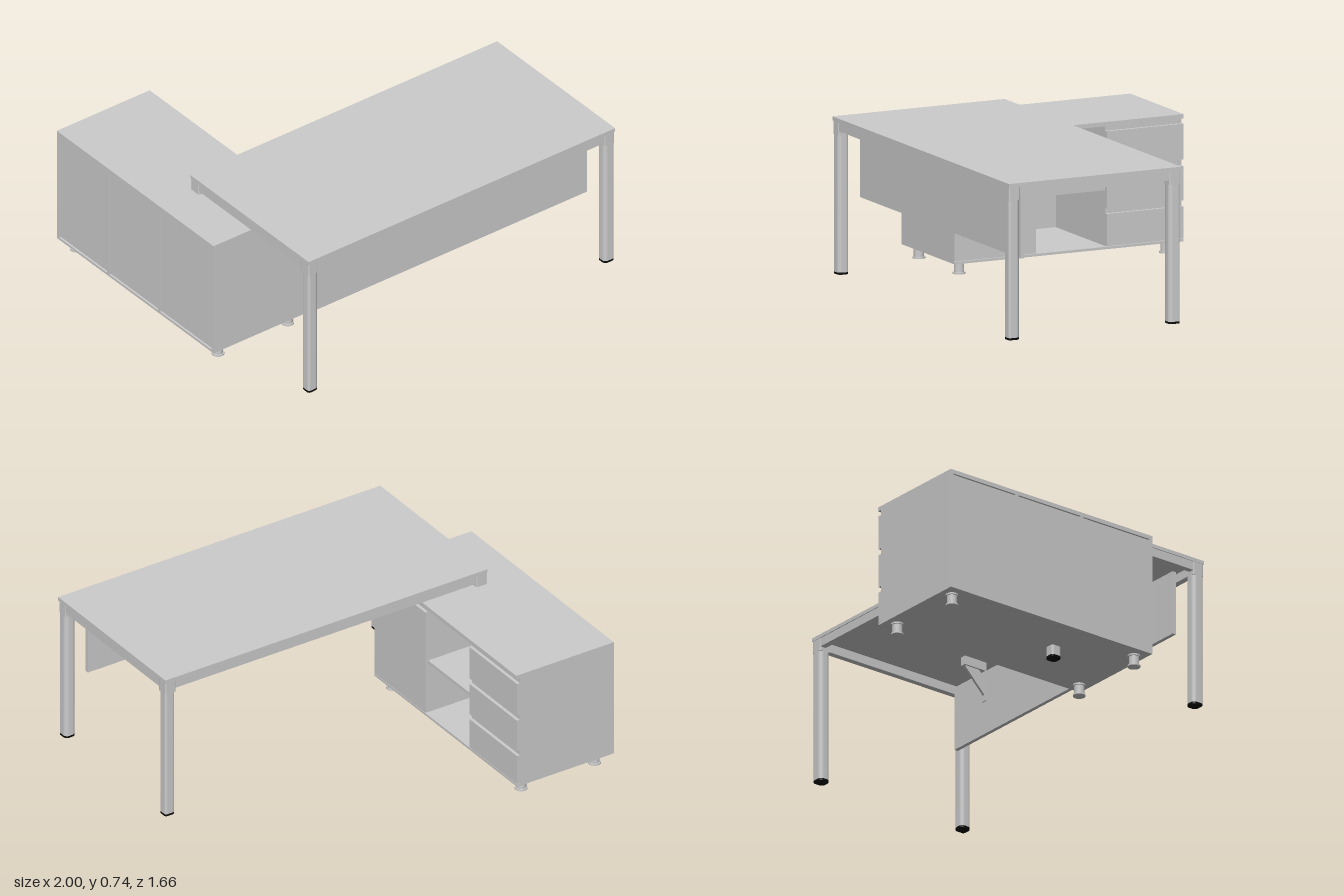
import * as THREE from 'three';

const grey = new THREE.MeshStandardMaterial({ color: 0xcccccc });
const black = new THREE.MeshStandardMaterial({ color: 0x0a0a0a });

function add(parent, name, geometry, material = grey) {
  const mesh = new THREE.Mesh(geometry, material);
  mesh.name = name;
  parent.add(mesh);
  return mesh;
}

// Box given by its limits on each axis
function slab(parent, name, [x0, x1], [y0, y1], [z0, z1]) {
  const mesh = add(parent, name, new THREE.BoxGeometry(x1 - x0, y1 - y0, z1 - z0));
  mesh.position.set((x0 + x1) / 2, (y0 + y1) / 2, (z0 + z1) / 2);
  return mesh;
}

// Square post whose outer corner is tighter than the other three
function post(half, outer, inner, y0, y1) {
  const s = new THREE.Shape();
  s.absarc(half - outer, half - outer, outer, 0, Math.PI / 2);
  s.absarc(-half + inner, half - inner, inner, Math.PI / 2, Math.PI);
  s.absarc(-half + inner, -half + inner, inner, Math.PI, Math.PI * 1.5);
  s.absarc(half - inner, -half + inner, inner, Math.PI * 1.5, Math.PI * 2);
  const g = new THREE.ExtrudeGeometry(s, { depth: y1 - y0, bevelEnabled: false, curveSegments: 6 });
  return g.rotateX(-Math.PI / 2).translate(0, y0, 0);
}

function createDesk() {
  const desk = new THREE.Group();
  desk.name = 'desk';
  const [x0, x1, z0, z1] = [-0.8, 1, -0.07, 0.83];
  slab(desk, 'deskTop', [x0, x1], [0.725, 0.743], [z0, z1]);

  // Legs, turned so the tight corner points outward
  const corners = [[x1, z0, 1, -1], [x0, z0, -1, -1], [x0, z1, -1, 1], [x1, z1, 1, 1]];
  corners.forEach(([x, z, sx, sz], i) => {
    const leg = new THREE.Group();
    leg.name = 'deskLeg';
    leg.position.set(x - sx * 0.031, 0, z - sz * 0.031);
    leg.rotation.y = i * Math.PI / 2;
    add(leg, 'legPost', post(0.029, 0.012, 0.02, 0.01, 0.662));
    add(leg, 'legHead', post(0.029, 0.006, 0.006, 0.662, 0.725));
    add(leg, 'legFoot', post(0.029, 0.012, 0.02, 0, 0.01), black);
    desk.add(leg);
  });

  // Frame rails between the leg heads
  const railY = [0.682, 0.725];
  for (const z of [z0 + 0.004, z1 - 0.034]) slab(desk, 'longRail', [x0 + 0.055, x1 - 0.055], railY, [z, z + 0.03]);
  for (const x of [x0 + 0.004, x1 - 0.034]) slab(desk, 'shortRail', [x, x + 0.03], railY, [z0 + 0.055, z1 - 0.055]);

  // Modesty panel and its angled brackets
  slab(desk, 'modestyPanel', [-0.72, 0.915], [0.365, 0.685], [0.708, 0.727]);
  const brace = new THREE.Shape([[-0.708, 0.555], [-0.585, 0.682], [-0.67, 0.682], [-0.708, 0.645]]
    .map(([a, b]) => new THREE.Vector2(a, b)));
  for (const x of [-0.5, 0.69]) {
    const g = new THREE.ExtrudeGeometry(brace, { depth: 0.012, bevelEnabled: false });
    add(desk, 'panelBrace', g.rotateY(Math.PI / 2)).position.x = x - 0.006;
    slab(desk, 'bracePlate', [x - 0.015, x + 0.015], [0.53, 0.685], [0.702, 0.708]);
    slab(desk, 'braceTopPlate', [x - 0.015, x + 0.015], [0.682, 0.725], [0.58, 0.708]);
  }
  return desk;
}

function createCabinet() {
  const cabinet = new THREE.Group();
  cabinet.name = 'sideCabinet';
  const back = -1, body = -0.475, front = -0.459;
  const [z0, z1, doorZ, drawerZ] = [-0.83, 0.365, -0.06, -0.43];
  const t = 0.016;

  // Carcass
  slab(cabinet, 'cabinetTop', [back, -0.455], [0.643, 0.663], [z0, z1]);
  slab(cabinet, 'cabinetBottom', [back, front], [0.058, 0.07], [z0, z1]);
  for (const z of [z0, drawerZ - t, doorZ, z1 - t]) {
    slab(cabinet, 'uprightPanel', [back, body], [0.07, 0.643], [z, z + t]);
  }
  slab(cabinet, 'backPanel', [back + 0.01, back + 0.022], [0.07, 0.643], [z0 + t, z1 - t]);
  slab(cabinet, 'nicheShelf', [back + 0.022, body], [0.335, 0.351], [drawerZ, doorZ]);

  // Door, leaving a finger gap below the top
  slab(cabinet, 'door', [body, front], [0.072, 0.617], [doorZ, z1]);
  slab(cabinet, 'doorBacking', [body - 0.02, body - 0.008], [0.07, 0.643], [doorZ + t, z1 - t]);

  // Drawers with finger gaps
  for (const y of [[0.072, 0.225], [0.252, 0.417], [0.447, 0.617]]) {
    slab(cabinet, 'drawerFront', [body, front], y, [z0, drawerZ]);
  }
  slab(cabinet, 'drawerBacking', [body - 0.02, body - 0.008], [0.07, 0.643], [z0 + t, drawerZ - t]);

  // Round feet
  const foot = [[0, 0], [0.03, 0], [0.03, 0.008], [0.024, 0.008], [0.024, 0.05], [0.03, 0.05], [0.03, 0.058]];
  const profile = foot.flatMap(([r, y]) => [new THREE.Vector2(r, y), new THREE.Vector2(r, y)]);
  for (const x of [-0.932, -0.522]) {
    for (const z of [-0.77, 0.31]) {
      add(cabinet, 'cabinetFoot', new THREE.LatheGeometry(profile, 24)).position.set(x, 0, z);
    }
  }
  return cabinet;
}

export function createModel() {
  const model = new THREE.Group();
  model.name = 'deskWithCabinet';
  model.add(createDesk(), createCabinet());
  return model;
}
